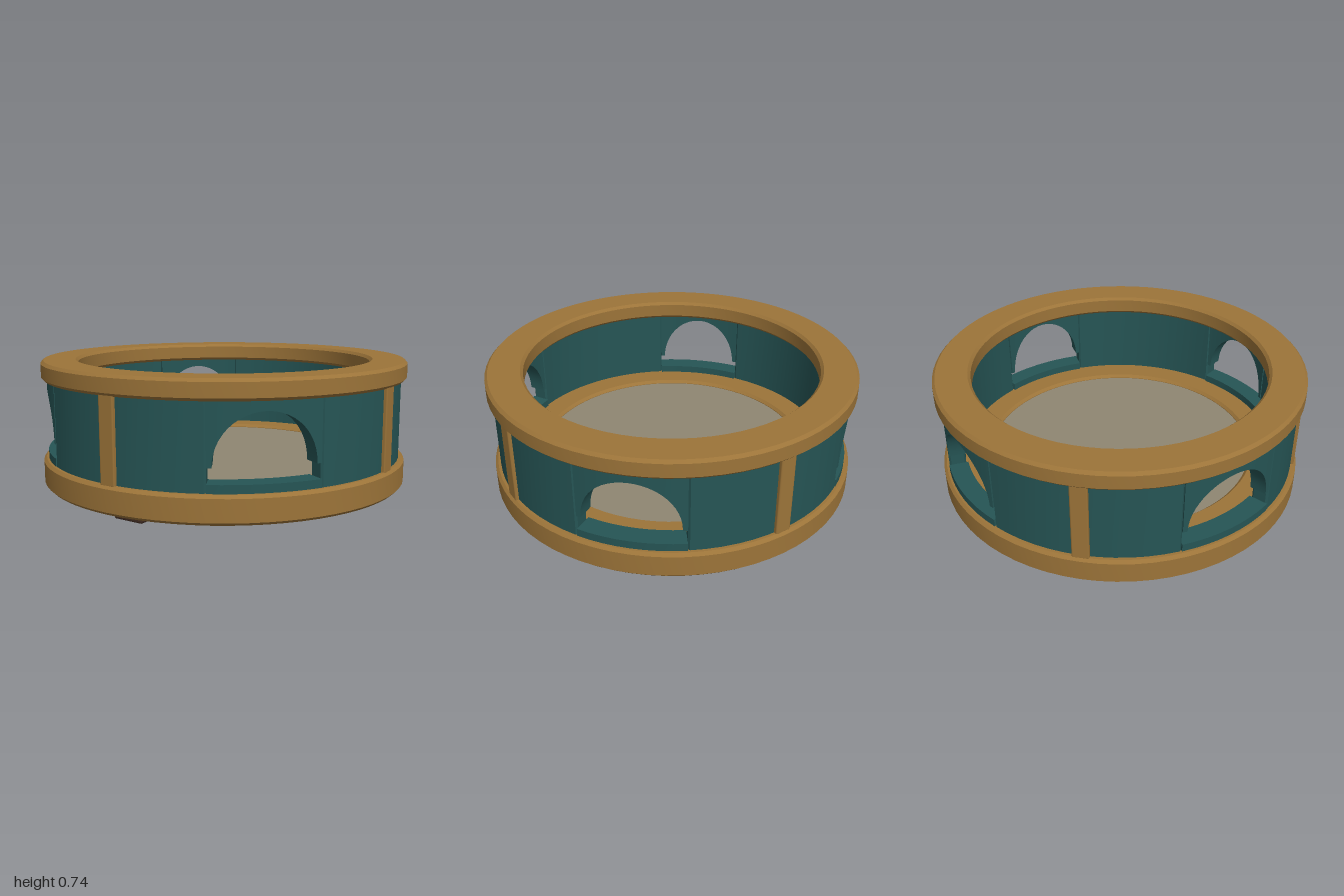
import * as THREE from 'three';
import { toCreasedNormals } from 'three/addons/utils/BufferGeometryUtils.js';
import { RoundedBoxGeometry } from 'three/addons/geometries/RoundedBoxGeometry.js';

const DEG = Math.PI / 180;
const material = (name, color) => {
  const m = new THREE.MeshStandardMaterial({ color });
  m.name = name;
  return m;
};

// Flat ring with chamfered edges, turned around y
function ringGeometry(rIn, rOut, y0, y1, c) {
  const profile = [
    [rIn + c, y0], [rOut - c, y0], [rOut, y0 + c], [rOut, y1 - c],
    [rOut - c, y1], [rIn + c, y1], [rIn, y1 - c], [rIn, y0 + c], [rIn + c, y0],
  ].map(([r, y]) => new THREE.Vector2(r, y));
  return toCreasedNormals(new THREE.LatheGeometry(profile, 72), 0.5);
}

// Curved block swept around y through sections [angle, yLow, yHigh, rInner, rOuter]
function arcGeometry(sections) {
  const pos = [], idx = [];
  for (const [a, lo, hi, r0, r1] of sections) {
    const s = Math.sin(a), c = Math.cos(a);
    for (const [r, y] of [[r1, lo], [r1, hi], [r0, hi], [r0, lo]]) pos.push(r * s, y, r * c);
  }
  const last = sections.length - 1;
  for (let i = 0; i < last; i++) {
    for (let k = 0; k < 4; k++) {
      const a = i * 4 + k, b = a + 4;
      const d = i * 4 + (k + 1) % 4, e = d + 4;
      idx.push(a, b, e, a, e, d);
    }
  }
  const n = last * 4;
  idx.push(0, 1, 2, 0, 2, 3, n, n + 2, n + 1, n, n + 3, n + 2);
  const g = new THREE.BufferGeometry();
  g.setAttribute('position', new THREE.Float32BufferAttribute(pos, 3));
  g.setIndex(idx);
  return toCreasedNormals(g, 0.5);
}

export function createModel() {
  const wood = material('wood', 0x9c7439);
  const teal = material('teal', 0x265555);
  const grey = material('floor grey', 0x8f8672);
  const dark = material('dark foot', 0x402b21);

  const model = new THREE.Group();
  model.name = 'roundPavilion';
  const add = (name, geometry, mat, parent = model) => {
    const mesh = new THREE.Mesh(geometry, mat);
    mesh.name = name;
    parent.add(mesh);
    return mesh;
  };

  // Base and top rings with the floor disc
  add('baseRing', ringGeometry(0.737, 1, 0.07, 0.213, 0.015), wood);
  add('topRing', ringGeometry(0.8, 1, 0.635, 0.737, 0.015), wood);
  add('floor', new THREE.CylinderGeometry(0.75, 0.75, 0.11, 72), grey).position.y = 0.14;

  const rIn = 0.88, rOut = 0.97, yLow = 0.2, yHigh = 0.645;
  const half = 16.2 * DEG, archHalf = 14.8 * DEG;

  // Solid wall panel between two windows, its ends slightly chamfered
  const start = half, end = Math.PI / 2 - half, bevel = 0.6 * DEG;
  const panel = [[start, yLow, yHigh, rIn + 0.01, rOut - 0.01]];
  for (let i = 0; i <= 12; i++) {
    panel.push([start + bevel + (end - start - 2 * bevel) * i / 12, yLow, yHigh, rIn, rOut]);
  }
  panel.push([end, yLow, yHigh, rIn + 0.01, rOut - 0.01]);
  const panelGeometry = arcGeometry(panel);

  // Arched lintel over each window
  const spring = 0.33, rise = 0.257;
  const lintel = [[-half, spring, yHigh, rIn, rOut]];
  for (let i = 0; i <= 24; i++) {
    const t = Math.PI * i / 24;
    lintel.push([-archHalf * Math.cos(t), spring + rise * Math.sin(t), yHigh, rIn, rOut]);
  }
  lintel.push([half, spring, yHigh, rIn, rOut]);
  const lintelGeometry = arcGeometry(lintel);

  // Low sill under each window
  const sill = [];
  for (let i = 0; i <= 8; i++) sill.push([-half + 2 * half * i / 8, yLow, 0.255, 0.87, 0.973]);
  const sillGeometry = arcGeometry(sill);

  const postGeometry = new RoundedBoxGeometry(0.088, 0.44, 0.07, 1, 0.008);
  const footGeometry = new RoundedBoxGeometry(0.176, 0.085, 0.176, 1, 0.012);

  // Four identical quarters
  for (let q = 0; q < 4; q++) {
    const quarter = new THREE.Group();
    quarter.name = 'quarter' + (q + 1);
    quarter.rotation.y = q * Math.PI / 2;
    model.add(quarter);
    add('wallPanel', panelGeometry, teal, quarter);
    add('windowArch', lintelGeometry, teal, quarter);
    add('windowSill', sillGeometry, teal, quarter);

    // Post and foot on the diagonal
    const diagonal = new THREE.Group();
    diagonal.name = 'corner';
    diagonal.rotation.y = Math.PI / 4;
    quarter.add(diagonal);
    add('post', postGeometry, wood, diagonal).position.set(0, 0.425, 0.952);
    add('foot', footGeometry, dark, diagonal).position.set(0, 0.0425, 0.76);
  }
  return model;
}
